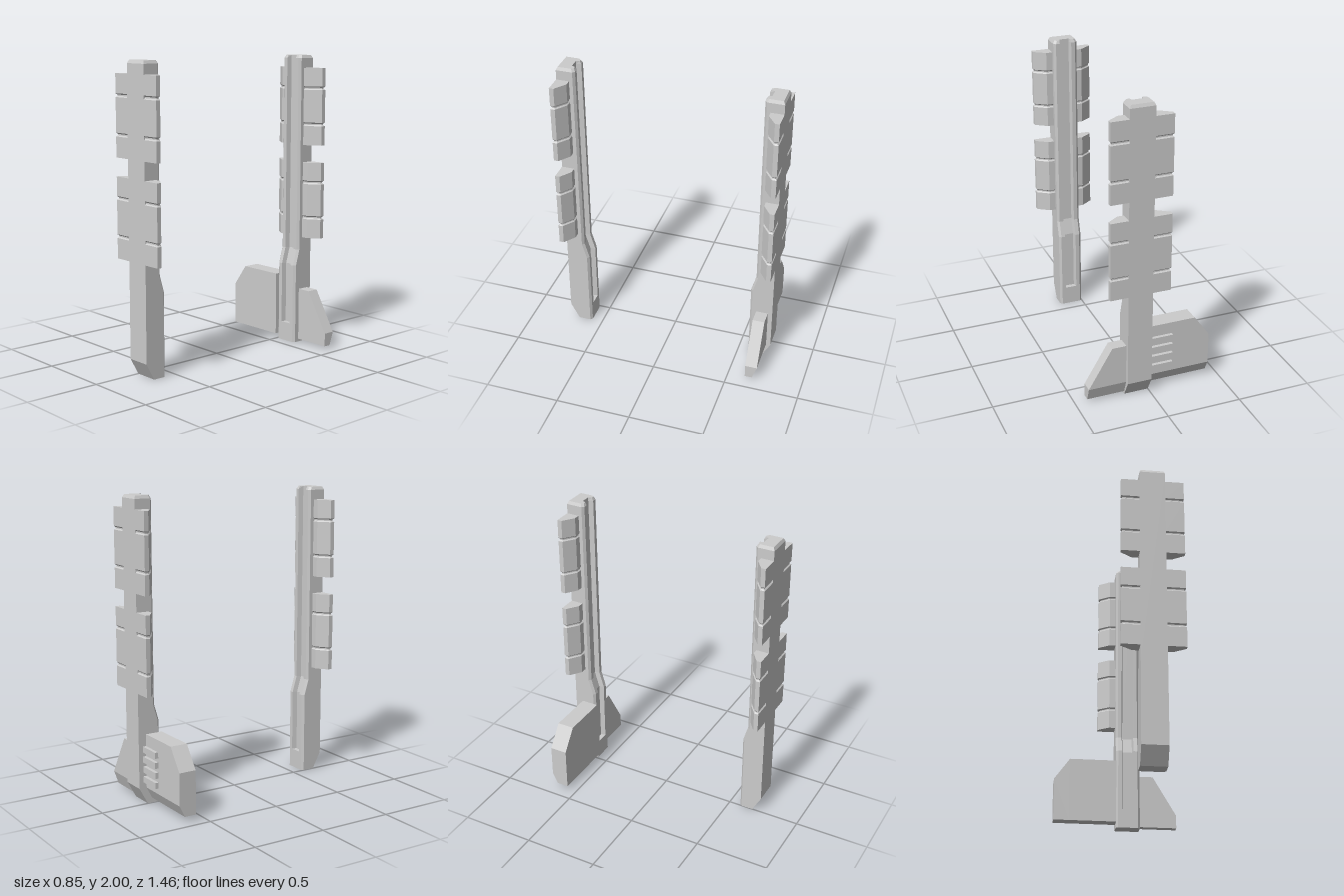
import * as THREE from 'three';

const material = new THREE.MeshStandardMaterial({ color: 0xcccccc, flatShading: true });
const WIDTH = 0.165; // post width, from x = 0

function add(parent, name, geometry) {
  const mesh = new THREE.Mesh(geometry, material);
  mesh.name = name;
  parent.add(mesh);
  return mesh;
}

// Joins cross-sections stacked along y; rows = [[y, [[x, z], ...]], ...], capped at both ends
function loft(rows) {
  const area = (pts) => THREE.ShapeUtils.area(pts.map(([x, y]) => new THREE.Vector2(x, y)));
  if (Math.max(...rows.map(([, s]) => area(s))) > 0) rows = rows.map(([y, s]) => [y, [...s].reverse()]);
  const out = [];
  const put = (r, i) => {
    const [y, s] = rows[r];
    const [x, z] = s[i % s.length];
    out.push(x, y, z);
  };
  const n = rows[0][1].length;
  for (let r = 0; r < rows.length - 1; r++) {
    for (let i = 0; i < n; i++) {
      put(r, i); put(r, i + 1); put(r + 1, i + 1);
      put(r, i); put(r + 1, i + 1); put(r + 1, i);
    }
  }
  for (const r of [0, rows.length - 1]) {
    const s = rows[r][1];
    const faces = THREE.ShapeUtils.triangulateShape(s.map(([x, z]) => new THREE.Vector2(x, z)), []);
    for (const f of faces) {
      const facesUp = area(f.map((i) => s[i])) < 0;
      const order = facesUp === (r > 0) ? f : [f[0], f[2], f[1]];
      order.forEach((i) => put(r, i));
    }
  }
  const geometry = new THREE.BufferGeometry();
  geometry.setAttribute('position', new THREE.Float32BufferAttribute(out, 3));
  geometry.computeVertexNormals();
  return geometry;
}

// Post section: flat outer face, chamfered inner corners, channel in the inner face
function postSection(outer, inner, depth, inset = 0) {
  const a = inset, b = WIDTH - inset;
  return [
    [a, outer], [a, inner + 0.014], [a + 0.015, inner], [0.042, inner], [0.05, inner + depth],
    [WIDTH - 0.05, inner + depth], [WIDTH - 0.042, inner], [b - 0.015, inner], [b, inner + 0.014], [b, outer],
  ];
}

function postGeometry() {
  return loft([
    [0, postSection(0.67, 0.575, 0)],
    [0.11, postSection(0.73, 0.575, 0)],
    [0.13, postSection(0.73, 0.575, 0)],
    [0.13, postSection(0.73, 0.575, 0.033)],
    [0.55, postSection(0.73, 0.575, 0.033)],
    [0.66, postSection(0.73, 0.607, 0.033)],
    [1.98, postSection(0.73, 0.607, 0.033)],
    [2, postSection(0.72, 0.617, 0.023, 0.01)],
  ]);
}

// Side plate with a bevelled inner edge and two narrow notches across it
function plateGeometry(side, base) {
  const section = (d) => [[0, 0.73 - d], [0.12 - d, 0.73 - d], [0.12 - d, 0.7 + d / 2], [0.043, 0.645 + d], [0, 0.645 + d]]
    .map(([x, z]) => [side > 0 ? WIDTH + x : -x, z]);
  const rows = [[base, section(0)]];
  for (const y of [0.132, 0.377]) {
    rows.push([base + y, section(0)], [base + y + 0.008, section(0.008)],
      [base + y + 0.016, section(0.008)], [base + y + 0.024, section(0)]);
  }
  rows.push([base + 0.525, section(0)]);
  return loft(rows);
}

// Plate running along x with a sloping lower back edge; tops = [[x, topY], ...]
function sidePanelGeometry(tops, bottom, front, back, bottomBack) {
  const rows = tops.map(([x, top]) => [x, [
    [-bottom, front], [-top, front], [-top, back], [-0.11, back], [-bottom, bottomBack],
  ]]);
  return loft(rows).rotateZ(-Math.PI / 2);
}

// Raised pad: corner-cut rectangle with a bevelled top
function padGeometry(w, h, height) {
  const c = 0.025, bevel = 0.02;
  const x = w / 2, y = h / 2;
  const ring = (d) => [
    [-x + c, -y + d], [x - c, -y + d], [x - d, -y + c], [x - d, y - c],
    [x - c, y - d], [-x + c, y - d], [-x + d, y - c], [-x + d, -y + c],
  ];
  return loft([[0, ring(0)], [height - bevel, ring(0)], [height, ring(bevel - 0.002)]]).rotateX(-Math.PI / 2);
}

function createPost(name) {
  const group = new THREE.Group();
  group.name = name;
  add(group, 'post', postGeometry());
  for (const side of [-1, 1]) {
    for (const base of [0.745, 1.39]) add(group, 'sidePlate', plateGeometry(side, base));
  }
  return group;
}

export function createModel() {
  const model = new THREE.Group();
  model.name = 'twinPosts';

  // Two posts with their channels facing each other
  model.add(createPost('frontPost'));
  const backPost = createPost('backPost');
  backPost.rotation.y = Math.PI;
  backPost.position.x = WIDTH;
  model.add(backPost);

  // Foot panels on the back post
  add(model, 'widePanel', sidePanelGeometry([[-0.425, 0.325], [-0.32, 0.47], [0, 0.47]], 0.035, -0.56, -0.677, -0.64));
  add(model, 'taperedFin', sidePanelGeometry([[WIDTH, 0.38], [0.26, 0.38], [0.42, 0.11]], 0.02, -0.62, -0.7, -0.668));

  // Pad and ribs behind the wide panel
  const pad = add(model, 'pad', padGeometry(0.155, 0.29, 0.06));
  pad.rotation.y = Math.PI;
  pad.position.set(-0.2325, 0.265, -0.67);
  for (let i = 0; i < 4; i++) {
    const rib = add(model, 'rib', new THREE.BoxGeometry(0.16, 0.04, 0.03));
    rib.position.set(-0.08, 0.17 + i * 0.067, -0.685);
  }

  return model;
}
